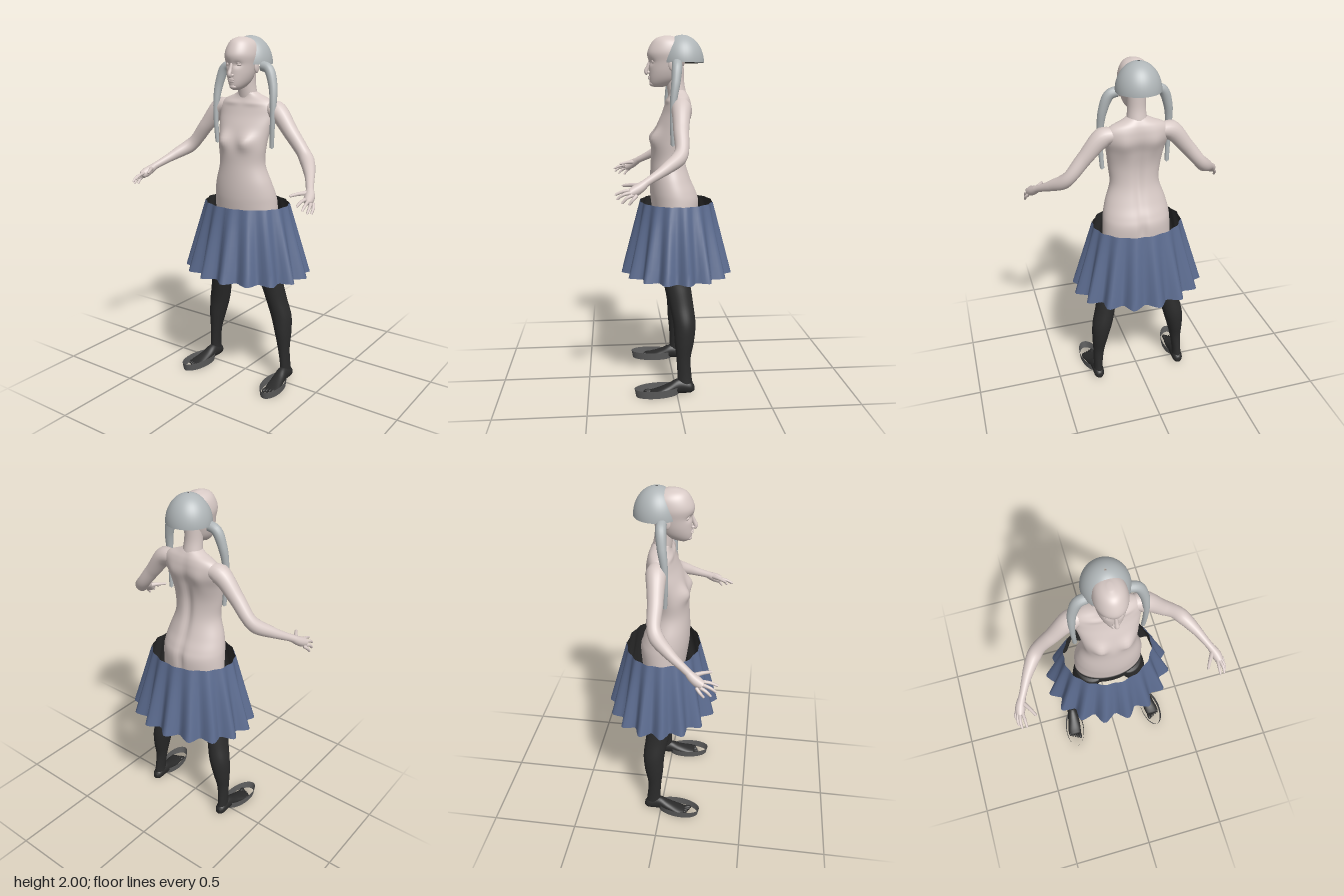
import * as THREE from 'three';

const mat = (name, color, side = THREE.FrontSide) => {
  const m = new THREE.MeshStandardMaterial({ color, side });
  m.name = name;
  return m;
};

// Closed body through elliptical sections; row = [height, centreX, radiusX, back, front]
function loft(rows, bump, sides = 32, steps = 5) {
  const a = new THREE.CatmullRomCurve3(rows.map(r => new THREE.Vector3(r[1], r[0], r[2])), false, 'catmullrom');
  const b = new THREE.CatmullRomCurve3(rows.map(r => new THREE.Vector3(r[3], r[0], r[4])), false, 'catmullrom');
  const n = (rows.length - 1) * steps, pos = [], idx = [];
  for (let i = 0; i <= n; i++) {
    const p = a.getPoint(i / n), q = b.getPoint(i / n);
    for (let j = 0; j < sides; j++) {
      const t = j / sides * Math.PI * 2;
      const v = new THREE.Vector3(p.x + p.z * Math.cos(t), p.y, (q.x + q.z) / 2 + (q.z - q.x) / 2 * Math.sin(t));
      if (bump) bump(v, Math.sin(t));
      pos.push(v.x, v.y, v.z);
      if (i < n) {
        const k = i * sides + j, l = i * sides + (j + 1) % sides;
        idx.push(k, k + sides, l, l, k + sides, l + sides);
      }
    }
  }
  // End caps
  [0, n].forEach(i => {
    const p = a.getPoint(i / n), q = b.getPoint(i / n), c = pos.length / 3;
    pos.push(p.x, p.y, (q.x + q.z) / 2);
    for (let j = 0; j < sides; j++) {
      const k = i * sides + j, l = i * sides + (j + 1) % sides;
      if (i) idx.push(c, l, k); else idx.push(c, k, l);
    }
  });
  const g = new THREE.BufferGeometry();
  g.setAttribute('position', new THREE.Float32BufferAttribute(pos, 3));
  g.setIndex(idx);
  g.computeVertexNormals();
  return g;
}

// Tapered tube with closed tips; radii are evenly spaced along its length
function taper(points, radii, seg = 30, sides = 16) {
  const path = new THREE.CatmullRomCurve3(points.map(p => new THREE.Vector3(...p)));
  const g = new THREE.TubeGeometry(path, seg, 1, sides), p = g.attributes.position, v = new THREE.Vector3();
  for (let i = 0; i <= seg; i++) {
    const c = path.getPointAt(i / seg), f = i / seg * (radii.length - 1), k = Math.min(Math.floor(f), radii.length - 2);
    const r = i === 0 || i === seg ? 0.0005 : THREE.MathUtils.lerp(radii[k], radii[k + 1], f - k);
    for (let j = 0; j <= sides; j++) {
      const m = i * (sides + 1) + j;
      v.fromBufferAttribute(p, m).sub(c).multiplyScalar(r).add(c);
      p.setXYZ(m, v.x, v.y, v.z);
    }
  }
  return g;
}

function flip(g) {
  const a = g.index.array;
  for (let i = 0; i < a.length; i += 3) [a[i], a[i + 1]] = [a[i + 1], a[i]];
  return g;
}
const mirrored = g => flip(g.clone().scale(-1, 1, 1));
const blob = (x, y, z, rx, ry, rz) => new THREE.SphereGeometry(1, 18, 12).scale(rx, ry, rz).translate(x, y, z);
const bell = (x, y, cx, cy, sx, sy) => Math.exp(-(((x - cx) / sx) ** 2) - ((y - cy) / sy) ** 2);

// Pleated skirt wall
function skirtWall(inset) {
  const g = new THREE.CylinderGeometry(1, 1, 1, 128, 6, true), p = g.attributes.position;
  for (let i = 0; i < p.count; i++) {
    const t = Math.atan2(-p.getZ(i), p.getX(i)), d = 0.5 - p.getY(i);
    const wave = Math.asin(0.96 * Math.cos(16 * (t - 0.12))) / 1.3;
    const w = wave * (0.004 + 0.026 * d) - inset;
    p.setXYZ(i, Math.cos(t) * (0.255 + 0.107 * d + w), 1.07 - 0.41 * d, -0.02 - Math.sin(t) * (0.208 + 0.088 * d + w));
  }
  g.computeVertexNormals();
  return g;
}

export function createModel() {
  const root = new THREE.Group();
  root.name = 'figure';
  const skin = mat('skin', 0xd8cac6), blue = mat('skirt blue', 0x5c6c90), black = mat('stocking black', 0x2b2b2b);
  const silver = mat('silver grey', 0xb0b6b8), grey = mat('sandal grey', 0x5c5c5c, THREE.DoubleSide);
  const add = (name, g, m) => {
    const mesh = new THREE.Mesh(g, m);
    mesh.name = name;
    root.add(mesh);
  };
  const pair = (name, g, m) => { add(name + 'Left', g, m); add(name + 'Right', mirrored(g), m); };

  // Torso with soft chest, collarbone, spine and hip modelling
  add('torso', loft([
    [0.96, 0, 0.2, -0.14, 0.11], [1.07, 0, 0.196, -0.148, 0.125], [1.13, 0, 0.19, -0.132, 0.13],
    [1.2, 0, 0.173, -0.102, 0.13], [1.3, 0, 0.142, -0.072, 0.125], [1.4, 0, 0.15, -0.065, 0.12],
    [1.5, 0, 0.165, -0.08, 0.09], [1.57, 0, 0.18, -0.1, 0.06], [1.62, 0, 0.182, -0.1, 0.042],
    [1.655, 0, 0.15, -0.093, 0.028], [1.68, 0, 0.09, -0.082, 0.022], [1.7, 0, 0.05, -0.07, 0.025],
  ], (v, s) => {
    const x = Math.abs(v.x);
    if (s > 0) v.z += s * (0.034 * bell(x, v.y, 0.08, 1.435, 0.045, 0.045) + 0.008 * bell(x, v.y, 0.08, 1.64, 0.07, 0.015));
    else v.z -= s * (0.016 * bell(x, v.y, 0, 1.35, 0.025, 0.25) + 0.014 * bell(x, v.y, 0, 1.05, 0.02, 0.07)
      - 0.012 * bell(x, v.y, 0.09, 1.55, 0.04, 0.07));
  }, 64, 6), skin);
  add('neck', loft([[1.64, 0, 0.065, -0.085, 0.02], [1.69, 0, 0.055, -0.075, 0.028], [1.75, 0, 0.05, -0.065, 0.035],
    [1.83, 0, 0.052, -0.065, 0.04]]), skin);

  // Head with brow, eye sockets and cheeks
  add('head', loft([
    [1.714, 0, 0.016, 0.06, 0.105], [1.73, 0, 0.036, 0.01, 0.125], [1.76, 0, 0.056, -0.03, 0.131],
    [1.8, 0, 0.07, -0.05, 0.132], [1.85, 0, 0.079, -0.07, 0.133], [1.9, 0, 0.086, -0.085, 0.142],
    [1.95, 0, 0.075, -0.08, 0.122], [1.98, 0, 0.05, -0.04, 0.095], [1.995, 0, 0.012, 0.01, 0.05],
  ], (v, s) => {
    if (s > 0) v.z -= s * 0.012 * bell(Math.abs(v.x), v.y, 0.034, 1.85, 0.02, 0.014);
  }, 56, 6), skin);
  add('nose', taper([[0, 1.862, 0.126], [0, 1.825, 0.139], [0, 1.797, 0.149], [0, 1.788, 0.136]], [0.007, 0.009, 0.012, 0.011], 14), skin);
  pair('nostril', blob(0.01, 1.795, 0.135, 0.008, 0.007, 0.01), skin);
  pair('eye', blob(0.034, 1.85, 0.107, 0.016, 0.009, 0.012), skin);
  pair('eyelid', taper([[0.017, 1.849, 0.117], [0.034, 1.86, 0.119], [0.052, 1.85, 0.106]], [0.002, 0.003, 0.002], 10, 8), skin);
  add('upperLip', blob(0, 1.772, 0.13, 0.022, 0.005, 0.009), skin);
  add('lowerLip', blob(0, 1.762, 0.129, 0.019, 0.006, 0.009), skin);
  add('chin', blob(0, 1.733, 0.113, 0.022, 0.015, 0.018), skin);
  pair('ear', blob(0.083, 1.835, 0.01, 0.009, 0.032, 0.02), skin);

  // Arms and hands
  pair('arm', taper([[0.12, 1.61, -0.035], [0.19, 1.6, -0.03], [0.29, 1.49, -0.02], [0.39, 1.37, -0.008],
    [0.46, 1.31, 0.07], [0.525, 1.25, 0.175], [0.545, 1.232, 0.205]],
  [0.035, 0.056, 0.048, 0.043, 0.04, 0.037, 0.04, 0.034, 0.026, 0.021, 0.02], 50, 20), skin);
  pair('palm', taper([[0.525, 1.25, 0.175], [0.548, 1.223, 0.215], [0.56, 1.205, 0.25], [0.563, 1.2, 0.262]],
    [0.019, 0.025, 0.028, 0.022], 14), skin);
  [
    [[0.535, 1.235, 0.205], [0.505, 1.235, 0.25], [0.477, 1.228, 0.3]],
    [[0.548, 1.215, 0.25], [0.545, 1.208, 0.295], [0.543, 1.19, 0.338]],
    [[0.56, 1.205, 0.25], [0.57, 1.195, 0.295], [0.57, 1.17, 0.33]],
    [[0.57, 1.195, 0.24], [0.583, 1.182, 0.275], [0.585, 1.152, 0.305]],
    [[0.572, 1.195, 0.225], [0.588, 1.175, 0.245], [0.59, 1.145, 0.27]],
  ].forEach((p, i) => pair('finger' + (i + 1), taper(p, i ? [0.01, 0.0085, 0.006] : [0.014, 0.01, 0.007], 12, 10), skin));

  // Stockinged hips, legs, feet and toes
  add('stockingHips', loft([[0.8, 0, 0.15, -0.08, 0.07], [0.86, 0, 0.19, -0.12, 0.1], [0.96, 0, 0.2, -0.14, 0.11]]), black);
  pair('leg', loft([
    [0.03, 0.262, 0.03, -0.095, -0.005], [0.1, 0.26, 0.027, -0.085, -0.005], [0.2, 0.252, 0.034, -0.08, 0],
    [0.3, 0.242, 0.048, -0.1, 0.01], [0.4, 0.226, 0.06, -0.11, 0.016], [0.5, 0.202, 0.059, -0.1, 0.035],
    [0.58, 0.186, 0.06, -0.09, 0.055], [0.66, 0.168, 0.065, -0.08, 0.08], [0.8, 0.135, 0.085, -0.1, 0.098],
    [0.93, 0.105, 0.09, -0.12, 0.1],
  ]), black);
  // Foot sections run along z, with top and sole measured downward
  pair('foot', loft([
    [-0.1, 0.262, 0.016, -0.045, -0.012], [-0.075, 0.262, 0.031, -0.07, 0], [-0.01, 0.263, 0.033, -0.085, 0],
    [0.05, 0.27, 0.039, -0.058, 0], [0.11, 0.28, 0.044, -0.036, 0], [0.15, 0.284, 0.04, -0.026, -0.002],
  ]).rotateX(Math.PI / 2), black);
  for (let i = 0; i < 5; i++) {
    pair('toe' + (i + 1), blob(0.254 + i * 0.016, 0.013, 0.165 - i * 0.008, i ? 0.008 : 0.012, 0.012, 0.024), black);
  }

  // Open sandal bands round the front of the feet
  pair('sandalBand', new THREE.CylinderGeometry(1, 0.93, 0.045, 40, 1, true)
    .scale(0.062, 1, 0.131).rotateY(0.12).translate(0.276, 0.0225, 0.11), grey);

  // Pleated skirt with dark lining
  add('skirt', skirtWall(0), blue);
  add('skirtLining', (g => { flip(g).computeVertexNormals(); return g; })(skirtWall(0.003)), black);

  // Domed cap with dark inside and a tiny hole in the crown
  const dome = r => new THREE.SphereGeometry(r, 40, 20, 0, Math.PI * 2, 0.05, Math.PI / 2 - 0.05)
    .scale(1, 1.24, 1).translate(0, 1.848, -0.053);
  add('cap', dome(0.123), silver);
  add('capLining', (g => { flip(g).computeVertexNormals(); return g; })(dome(0.12)), black);

  // Hanging side tails
  pair('sideTail', taper([[0.095, 1.842, -0.015], [0.145, 1.825, -0.012], [0.18, 1.74, -0.002], [0.192, 1.64, 0.012],
    [0.192, 1.52, 0.018], [0.186, 1.395, 0.014]], [0.028, 0.028, 0.024, 0.019, 0.015, 0.013, 0.012], 48), silver);

  return root;
}
